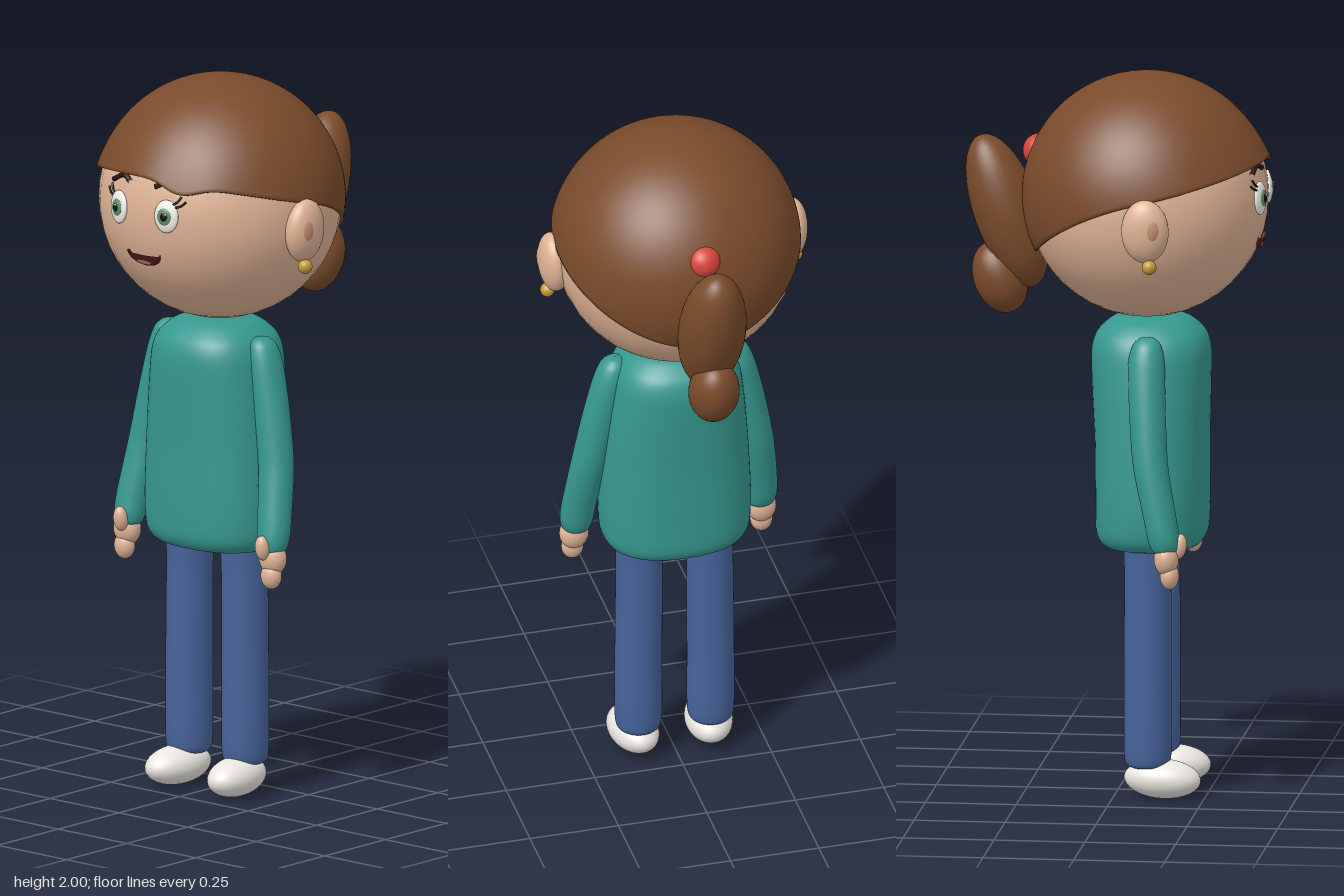
import * as THREE from 'three';
import { mergeVertices } from 'three/addons/utils/BufferGeometryUtils.js';

const SKIN = 0xe0b496, HAIR = 0x7a4b2b, TEAL = 0x36988f, DENIM = 0x46639a;
const DARK = 0x2a1812, RED = 0xd8463f;
const HEAD = new THREE.Vector3(0, 1.658, 0.08), HEAD_R = 0.333;

function part(name, geometry, color, parent, side = THREE.FrontSide) {
  const mesh = new THREE.Mesh(geometry, new THREE.MeshStandardMaterial({ color, side }));
  mesh.name = name;
  parent.add(mesh);
  return mesh;
}

function ellipsoid(name, color, parent, pos, radii, rot = [0, 0, 0]) {
  const mesh = part(name, new THREE.SphereGeometry(1, 36, 24), color, parent);
  mesh.position.set(...pos);
  mesh.scale.set(...radii);
  mesh.rotation.set(...rot);
  return mesh;
}

// Smooth body through rows of [y, centreX, centreZ, radiusX, radiusZ], bottom to top
function loft(rows, power = 2, steps = 56, sides = 48) {
  const curve = (f) => new THREE.CatmullRomCurve3(rows.map(f), false, 'catmullrom', 0.4);
  const centres = curve(([y, x, z]) => new THREE.Vector3(x, y, z));
  const radii = curve((r) => new THREE.Vector3(r[3], 0, r[4]));
  const pos = [], index = [];
  const bend = (v) => Math.sign(v) * Math.abs(v) ** (2 / power);
  for (let i = 0; i <= steps; i++) {
    const c = centres.getPoint(i / steps), r = radii.getPoint(i / steps);
    for (let j = 0; j < sides; j++) {
      const a = (j / sides) * Math.PI * 2;
      pos.push(c.x + Math.max(r.x, 0.001) * bend(Math.sin(a)), c.y, c.z + Math.max(r.z, 0.001) * bend(Math.cos(a)));
      if (i < steps) {
        const k = (j + 1) % sides, p = i * sides, q = p + sides;
        index.push(p + j, p + k, q + k, p + j, q + k, q + j);
      }
    }
  }
  const g = new THREE.BufferGeometry();
  g.setAttribute('position', new THREE.Float32BufferAttribute(pos, 3));
  g.setIndex(index);
  g.computeVertexNormals();
  return g;
}

// Point on the front of the head, raised by lift
function onFace(x, y, lift = 0) {
  const r = HEAD_R + lift, dy = y - HEAD.y;
  return new THREE.Vector3(x, y, HEAD.z + Math.sqrt(r * r - x * x - dy * dy));
}

function faceGroup(name, x, y, parent) {
  const g = new THREE.Group();
  g.name = name;
  g.position.copy(onFace(x, y));
  g.lookAt(g.position.clone().multiplyScalar(2).sub(HEAD));
  parent.add(g);
  return g;
}

function stroke(name, points, radius, parent) {
  const curve = new THREE.CatmullRomCurve3(points.map(([x, y]) => onFace(x, y, 0.004)));
  part(name, new THREE.TubeGeometry(curve, 12, radius, 8), DARK, parent);
}

// Hair cap: sphere squeezed to end on a wavy hairline, with its rim folded under
function hairGeometry() {
  const R = 0.342, g = new THREE.SphereGeometry(1, 120, 48);
  const p = g.attributes.position, uv = g.attributes.uv;
  for (let i = 0; i < p.count; i++) {
    const a = Math.PI + uv.getX(i) * Math.PI * 2, d = Math.cos(a);
    let edge = 1.69 + 0.08 * d - (d < 0 ? 0.11 * d * d : 0);
    if (d > 0) edge -= 0.028 * Math.exp(-(((R * Math.sin(a) - 0.13) / 0.06) ** 2));
    const row = (1 - uv.getY(i)) * 48, t = Math.min(row / 45, 1);
    const theta = t * Math.acos((edge - HEAD.y) / R);
    const r = R + 0.012 * t ** 5 * Math.max(d, 0) - Math.max(row - 45, 0) * 0.009;
    p.setXYZ(i, r * Math.sin(theta) * Math.sin(a), r * Math.cos(theta), r * Math.sin(theta) * d);
  }
  g.deleteAttribute('uv');
  g.deleteAttribute('normal');
  const merged = mergeVertices(g, 1e-5);
  merged.computeVertexNormals();
  return merged;
}

export function createModel() {
  const model = new THREE.Group();
  model.name = 'girl';

  // Head, hair and ponytail
  const head = new THREE.Group();
  head.name = 'headGroup';
  model.add(head);
  ellipsoid('head', SKIN, head, HEAD.toArray(), [HEAD_R, HEAD_R, HEAD_R]);
  part('hair', hairGeometry(), HAIR, head, THREE.DoubleSide).position.copy(HEAD);
  ellipsoid('ponytail', HAIR, head, [0, 1.605, -0.305], [0.093, 0.222, 0.092], [-0.34, 0, 0]);
  ellipsoid('ponytailTip', HAIR, head, [0, 1.42, -0.325], [0.07, 0.102, 0.073], [-0.35, 0, 0]);
  ellipsoid('hairTie', RED, head, [0, 1.775, -0.215], [0.047, 0.047, 0.047]);

  // Mouth: lower half of a flattened ellipsoid, with a tongue
  const mouth = faceGroup('mouth', 0, 1.556, head);
  const lips = part('mouthOpening', new THREE.SphereGeometry(1, 32, 12, 0, Math.PI * 2, Math.PI / 2, Math.PI / 2),
    0x4a1d18, mouth, THREE.DoubleSide);
  lips.scale.set(0.06, 0.038, 0.011);
  ellipsoid('tongue', 0xb5625a, mouth, [0, -0.024, 0.006], [0.026, 0.009, 0.005]);

  for (const s of [1, -1]) {
    // Eyes with brows and lashes
    const eye = faceGroup('eye', s * 0.086, 1.673, head);
    ellipsoid('eyeWhite', 0xf2f0ea, eye, [0, 0, 0], [0.036, 0.046, 0.012]);
    ellipsoid('iris', 0x5f9068, eye, [-s * 0.002, 0, 0.008], [0.022, 0.025, 0.007]);
    ellipsoid('pupil', 0x101010, eye, [-s * 0.002, 0, 0.0125], [0.011, 0.013, 0.005]);
    ellipsoid('eyeGlint', 0xffffff, eye, [0.005, 0.008, 0.016], [0.004, 0.004, 0.003]);
    stroke('eyebrow', [[s * 0.045, 1.75], [s * 0.075, 1.763], [s * 0.122, 1.742]], 0.007, head);
    stroke('eyelash', [[s * 0.113, 1.7], [s * 0.128, 1.706], [s * 0.14, 1.718]], 0.003, head);
    stroke('eyelash', [[s * 0.106, 1.708], [s * 0.118, 1.717], [s * 0.126, 1.731]], 0.003, head);

    // Ears and earrings
    ellipsoid('ear', SKIN, head, [s * 0.337, 1.622, 0.115], [0.042, 0.088, 0.065], [0, 0, -s * 0.06]);
    ellipsoid('innerEar', 0xc58f74, head, [s * 0.366, 1.63, 0.132], [0.013, 0.036, 0.025]);
    ellipsoid('earring', 0xc79a35, head, [s * 0.35, 1.525, 0.128], [0.02, 0.02, 0.02]);

    // Sleeve, hand and thumb
    const arm = new THREE.Group();
    arm.name = s > 0 ? 'leftArm' : 'rightArm';
    model.add(arm);
    part('sleeve', loft([
      [0.712, s * 0.26, 0.163, 0, 0],
      [0.716, s * 0.26, 0.162, 0.034, 0.032],
      [0.745, s * 0.26, 0.158, 0.045, 0.043],
      [0.8, s * 0.256, 0.148, 0.048, 0.045],
      [0.95, s * 0.236, 0.118, 0.05, 0.048],
      [1.1, s * 0.208, 0.106, 0.05, 0.05],
      [1.22, s * 0.182, 0.1, 0.047, 0.05],
      [1.27, s * 0.172, 0.1, 0.037, 0.04],
      [1.29, s * 0.168, 0.1, 0.02, 0.022],
      [1.295, s * 0.167, 0.1, 0, 0],
    ]), TEAL, arm);
    ellipsoid('palm', SKIN, arm, [s * 0.265, 0.698, 0.165], [0.041, 0.046, 0.034]);
    ellipsoid('fingers', SKIN, arm, [s * 0.267, 0.651, 0.174], [0.031, 0.037, 0.026]);
    ellipsoid('thumb', SKIN, arm, [s * 0.258, 0.732, 0.2], [0.021, 0.035, 0.02], [0.15, 0, 0]);

    // Trouser leg and shoe
    const leg = new THREE.Group();
    leg.name = s > 0 ? 'leftLeg' : 'rightLeg';
    model.add(leg);
    part('trouserLeg', loft([
      [0.085, s * 0.102, 0.094, 0, 0],
      [0.087, s * 0.102, 0.094, 0.045, 0.045],
      [0.115, s * 0.102, 0.094, 0.064, 0.064],
      [0.3, s * 0.102, 0.094, 0.065, 0.065],
      [0.6, s * 0.1, 0.094, 0.064, 0.064],
      [0.76, s * 0.098, 0.094, 0.062, 0.062],
      [0.78, s * 0.098, 0.094, 0, 0],
    ]), DENIM, leg);
    ellipsoid('shoe', 0xe9e6e0, leg, [s * 0.107, 0.055, 0.135], [0.066, 0.054, 0.107], [0.03, s * 0.12, 0]);
  }

  // Jumper
  part('jumper', loft([
    [0.686, 0, 0.093, 0, 0],
    [0.688, 0, 0.093, 0.1, 0.08],
    [0.695, 0, 0.094, 0.175, 0.13],
    [0.73, 0, 0.095, 0.204, 0.152],
    [0.82, 0, 0.096, 0.21, 0.155],
    [0.98, 0, 0.095, 0.203, 0.156],
    [1.12, 0, 0.093, 0.192, 0.161],
    [1.23, 0, 0.092, 0.178, 0.163],
    [1.28, 0, 0.092, 0.158, 0.148],
    [1.315, 0, 0.092, 0.118, 0.11],
    [1.328, 0, 0.092, 0.07, 0.07],
    [1.33, 0, 0.092, 0, 0],
  ], 2.35, 72, 64), TEAL, model);

  return model;
}
